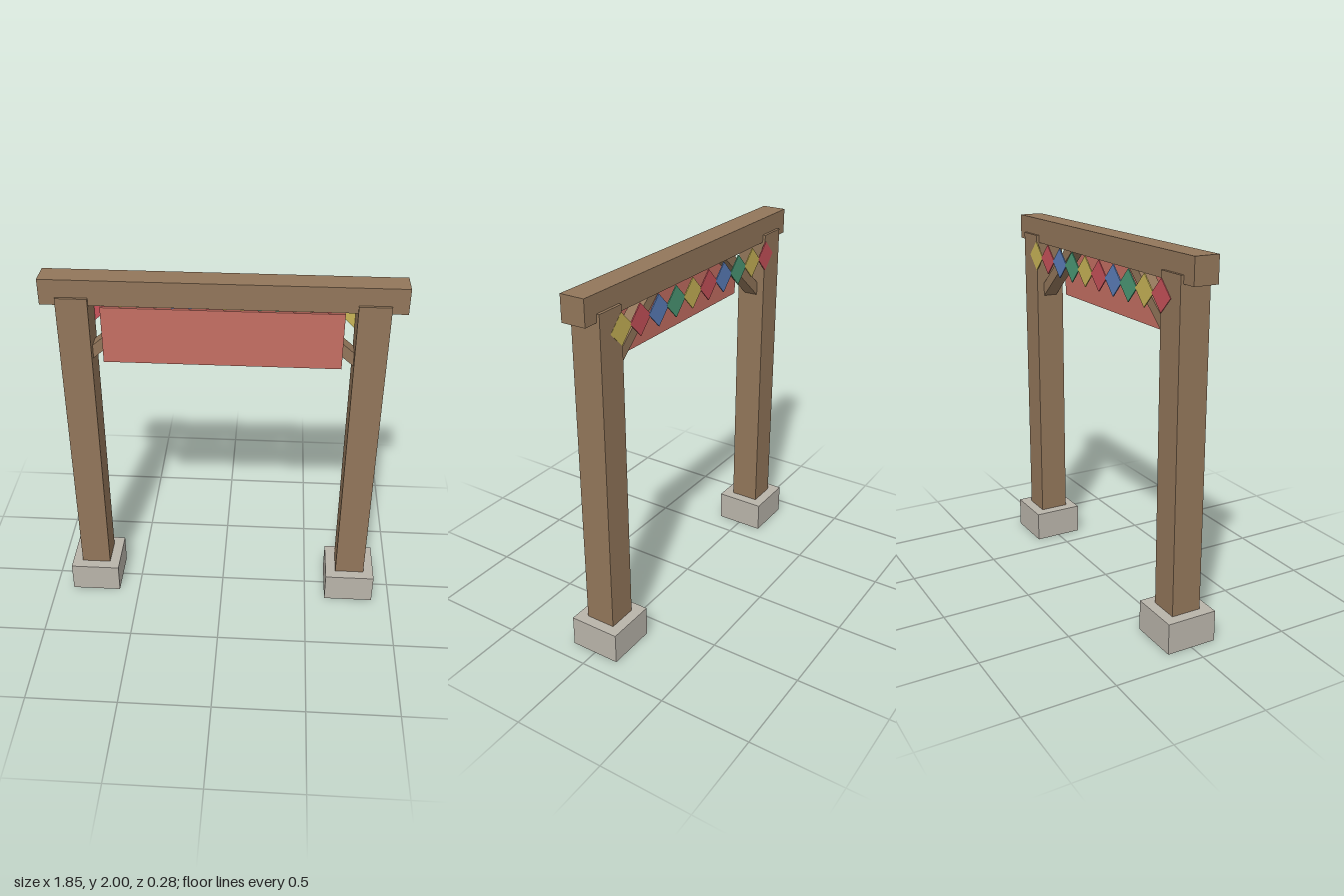
import * as THREE from 'three';

const paint = (name, color) => {
  const m = new THREE.MeshStandardMaterial({ color });
  m.name = name;
  return m;
};

export function createModel() {
  const gate = new THREE.Group();
  gate.name = 'gate';

  const wood = paint('wood', 0x92765a);
  const stone = paint('stone', 0xb9b4aa);
  const cloth = paint('banner red', 0xc56f63);
  const flagColors = [
    paint('yellow', 0xc9b557),
    paint('red', 0xc8525a),
    paint('blue', 0x5c7fbb),
    paint('green', 0x4c9a76),
  ];

  const box = (name, size, position, material) => {
    const mesh = new THREE.Mesh(new THREE.BoxGeometry(...size), material);
    mesh.name = name;
    mesh.position.set(...position);
    gate.add(mesh);
    return mesh;
  };

  // Posts, footings and diagonal braces, mirrored
  for (const [side, s] of [['left', 1], ['right', -1]]) {
    box(`${side}Post`, [0.165, 1.905, 0.165], [s * 0.757, 0.9525, 0], wood);
    box(`${side}Footing`, [0.28, 0.17, 0.28], [s * 0.757, 0.085, 0], stone);

    const from = new THREE.Vector2(s * 0.72, 1.547);
    const to = new THREE.Vector2(s * 0.34, 1.87);
    const mid = from.clone().add(to).multiplyScalar(0.5);
    const brace = box(`${side}Brace`, [from.distanceTo(to), 0.057, 0.08], [mid.x, mid.y, 0], wood);
    brace.rotation.z = Math.atan2(to.y - from.y, to.x - from.x);
  }

  // Crossbeam and hanging banner
  box('crossbeam', [1.845, 0.137, 0.134], [0, 1.9315, 0], wood);
  box('banner', [1.225, 0.31, 0.016], [0, 1.71, 0.08], cloth);

  // Row of diamond flags across the back, each set slightly behind the last
  const count = 10;
  const side = 0.118;
  for (let i = 0; i < count; i++) {
    const x = 0.68 - (i * 1.36) / (count - 1);
    const flag = box(`flag${i + 1}`, [side, side, 0.006], [x, 1.785, -0.0803 - i * 0.0003], flagColors[i % 4]);
    flag.rotation.z = Math.PI / 4;
  }

  return gate;
}
